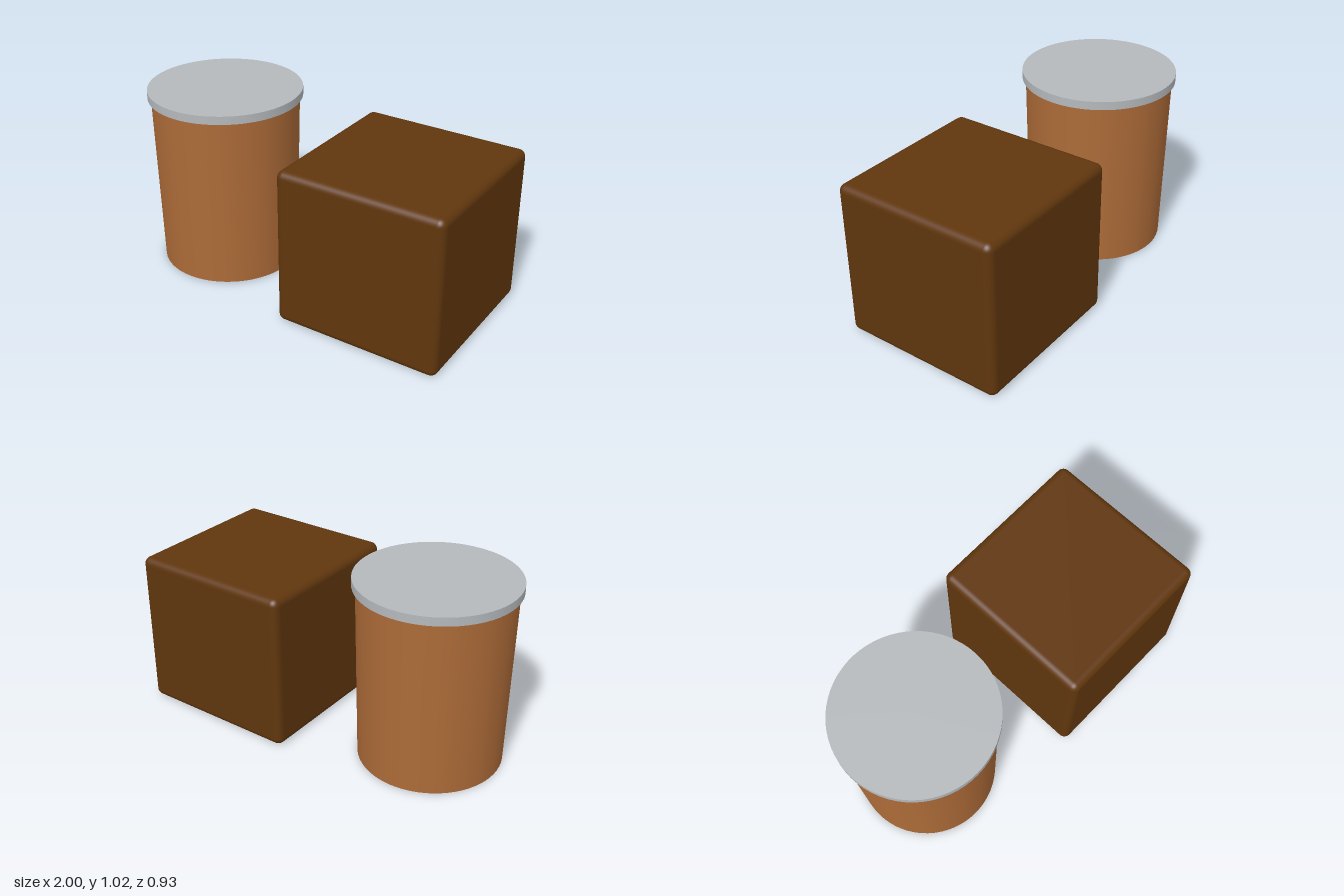
import * as THREE from 'three';
import { RoundedBoxGeometry } from 'three/addons/geometries/RoundedBoxGeometry.js';

const material = (name, color) => {
  const m = new THREE.MeshStandardMaterial({ color });
  m.name = name;
  return m;
};

export function createModel() {
  const group = new THREE.Group();
  const darkBrown = material('dark brown', 0x60360d);
  const tan = material('tan', 0xad6b38);
  const grey = material('light grey', 0xb5b9bc);
  tan.side = THREE.DoubleSide;

  const add = (name, geometry, mat, x, y, parent = group) => {
    const mesh = new THREE.Mesh(geometry, mat);
    mesh.name = name;
    mesh.position.set(x, y, 0);
    parent.add(mesh);
    return mesh;
  };

  // Softly rounded block
  add('block', new RoundedBoxGeometry(0.926, 0.87, 0.926, 5, 0.04), darkBrown, 0.537, 0.435);

  // Tapered tub with a raised underside
  const tub = new THREE.Group();
  tub.name = 'tub';
  tub.position.x = -0.577;
  group.add(tub);
  const turned = (points) =>
    new THREE.LatheGeometry(points.map(([r, y]) => new THREE.Vector2(r, y)), 64);
  add('tubWall', turned([[0.385, 0], [0.405, 0.972]]), tan, 0, 0, tub);
  add('tubFootInside', turned([[0.383, 0.12], [0.38, 0]]), tan, 0, 0, tub);
  add('tubFootRim', turned([[0.38, 0], [0.385, 0]]), tan, 0, 0, tub);
  add('tubBase', turned([[0, 0.12], [0.383, 0.12]]), tan, 0, 0, tub);

  // Flat overhanging lid
  add('lid', new THREE.CylinderGeometry(0.423, 0.423, 0.046, 64), grey, 0, 0.993, tub);

  return group;
}
